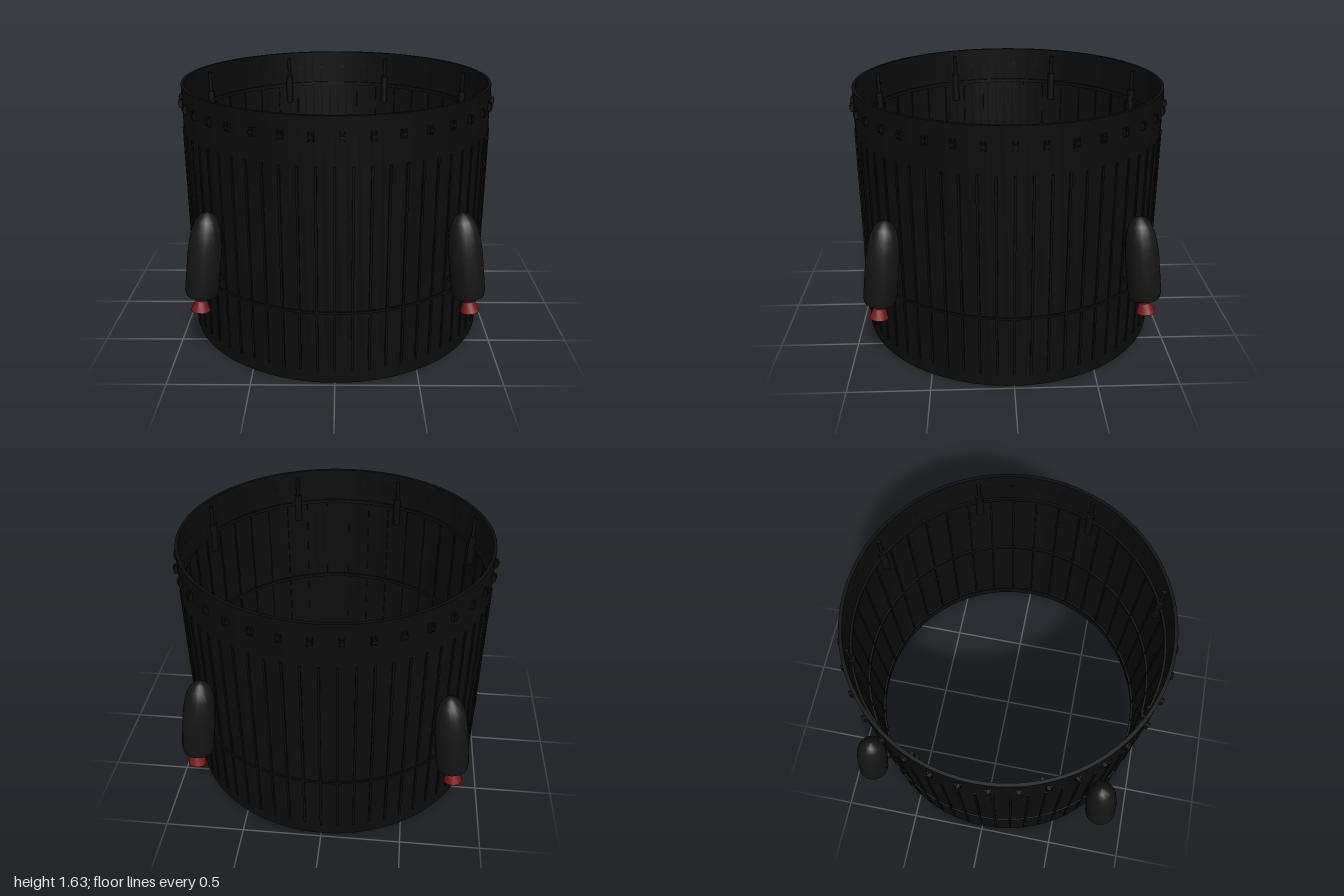
import * as THREE from 'three';
import { mergeGeometries, toCreasedNormals } from 'three/addons/utils/BufferGeometryUtils.js';

const mat = (name, color) => Object.assign(new THREE.MeshStandardMaterial({ color }), { name });

// Lathe from [radius, height] pairs, with sharp edges kept
function lathe(profile, segments) {
  const pts = profile.map(([r, y]) => new THREE.Vector2(r, y));
  return toCreasedNormals(new THREE.LatheGeometry(pts, segments), 0.6);
}

// Rectangular hoop between two radii and two heights
const hoop = (r0, r1, y0, y1) =>
  lathe([[r0, y0], [r1, y0], [r1, y1], [r0, y1], [r0, y0]], 96);

// Copies a geometry (drawn on the +x side) around the y axis
function around(geometry, count, offset = 0) {
  const copies = [];
  for (let i = 0; i < count; i++) {
    copies.push(geometry.clone().rotateY(offset + (i / count) * Math.PI * 2));
  }
  return mergeGeometries(copies);
}

const box = (w, h, d, x, y, z) => new THREE.BoxGeometry(w, h, d).translate(x, y, z);

export function createModel() {
  const black = mat('shellBlack', 0x0c0c0c);
  const charcoal = mat('podCharcoal', 0x141414);
  const red = mat('nozzleRed', 0x781515);

  const model = new THREE.Group();
  model.name = 'interstageRing';
  const add = (name, geometry, material, parent = model) => {
    const mesh = new THREE.Mesh(geometry, material);
    mesh.name = name;
    parent.add(mesh);
    return mesh;
  };

  // Open cylindrical shell
  add('shell', hoop(0.955, 0.976, 0, 1.63), black);

  // Outer ribs and the band that crosses them
  add('outerRibs', around(box(0.018, 1.265, 0.014, 0.974, 0.7175, 0), 60), black);
  add('outerBand', hoop(0.97, 0.985, 0.465, 0.48), black);

  // Inner hoops and ribs
  for (const y of [0.1, 0.76, 1.39]) {
    add('innerHoop', hoop(0.942, 0.96, y - 0.012, y + 0.012), black);
  }
  add('innerRibs', around(box(0.014, 1.28, 0.012, 0.953, 0.74, 0), 40), black);

  // Row of small clamps near the upper rim
  const clamp = mergeGeometries([
    box(0.03, 0.05, 0.008, 0.98, 1.518, 0.012),
    box(0.03, 0.05, 0.008, 0.98, 1.518, -0.012),
    box(0.046, 0.02, 0.032, 0.977, 1.518, 0),
  ]);
  add('clamps', around(clamp, 37), black);

  // Eight push rods standing on the inner wall
  const pusher = mergeGeometries([
    new THREE.CylinderGeometry(0.024, 0.024, 0.2, 12).translate(0.942, 1.36, 0),
    new THREE.CylinderGeometry(0.012, 0.012, 0.14, 8).translate(0.942, 1.52, 0),
  ]);
  add('pushRods', around(pusher, 8, Math.PI / 8), black);

  // Four tilted motor pods with nozzles; pod origin is at the body's base
  const podBody = lathe([
    [0, 0], [0.06, 0], [0.09, 0.015], [0.1, 0.05], [0.1, 0.28], [0.096, 0.35],
    [0.086, 0.42], [0.066, 0.48], [0.038, 0.515], [0, 0.53],
  ], 18);
  const nozzle = lathe([
    [0, -0.085], [0.057, -0.085], [0.034, -0.02], [0.042, 0], [0.042, 0.02], [0, 0.02],
  ], 14);
  for (let i = 0; i < 4; i++) {
    const side = new THREE.Group();
    side.name = 'motorPod';
    side.rotation.y = Math.PI / 4 + (i * Math.PI) / 2;
    const pod = new THREE.Group();
    pod.name = 'tiltedMotor';
    pod.position.set(1.122, 0.475, 0);
    pod.rotation.z = 0.155;
    add('motorBody', podBody, charcoal, pod);
    add('nozzle', nozzle, red, pod);
    side.add(pod);
    add('mountStrut', box(0.14, 0.03, 0.04, 1.02, 0.56, 0), black, side);
    model.add(side);
  }
  return model;
}
